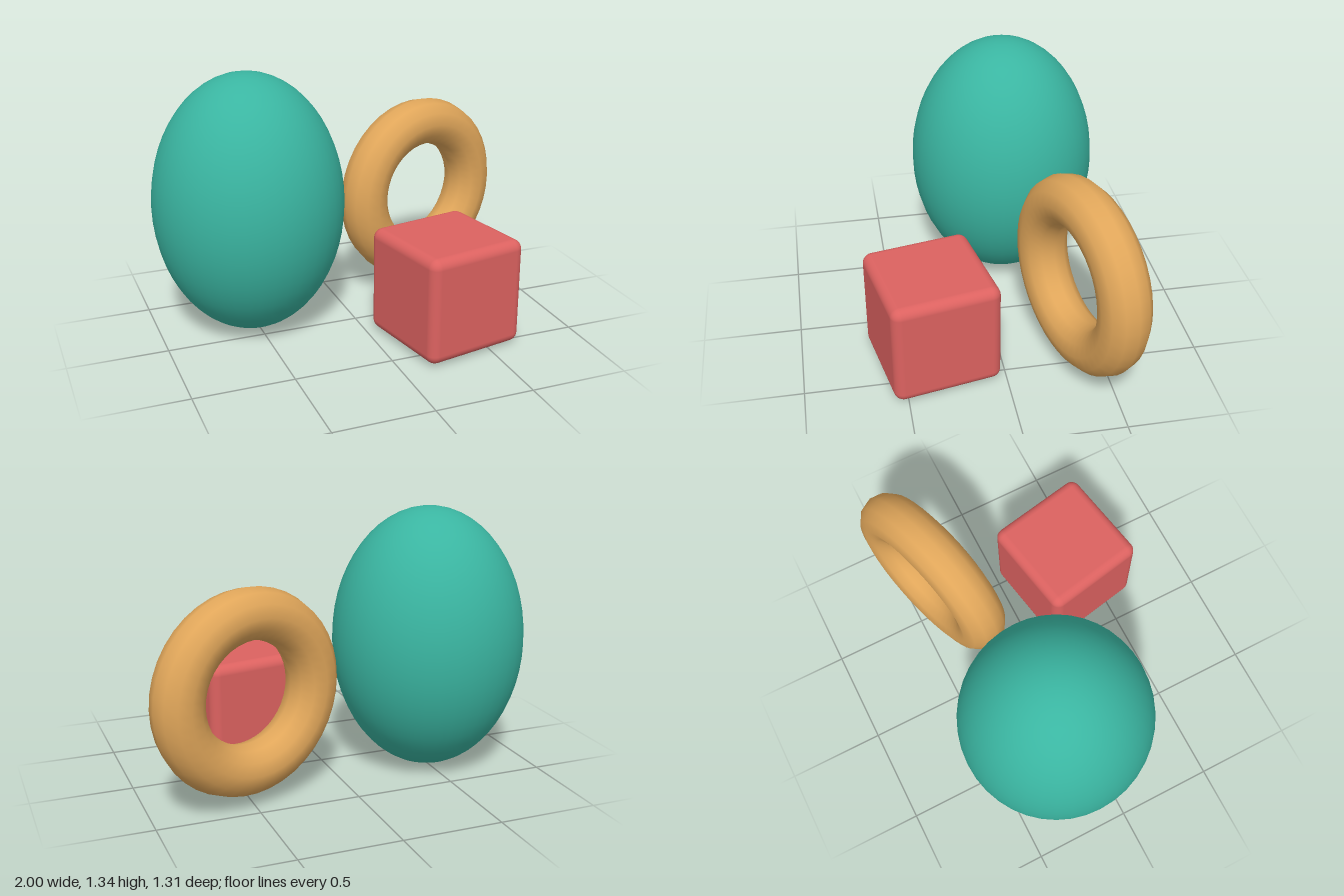
import * as THREE from 'three';
import { RoundedBoxGeometry } from 'three/addons/geometries/RoundedBoxGeometry.js';

function material(name, color) {
  const m = new THREE.MeshStandardMaterial({ color });
  m.name = name;
  return m;
}

export function createModel() {
  const model = new THREE.Group();
  model.name = 'threeShapes';

  const add = (name, geometry, mat, position, turn = 0) => {
    const mesh = new THREE.Mesh(geometry, mat);
    mesh.name = name;
    mesh.position.set(...position);
    mesh.rotation.y = turn;
    model.add(mesh);
    return mesh;
  };

  // Tall egg-like ellipsoid
  const egg = new THREE.SphereGeometry(1, 40, 28).scale(0.487, 0.67, 0.487);
  add('ellipsoid', egg, material('teal', 0x3ab5a1), [-0.514, 0.67, -0.17]);

  // Upright ring, turned slightly about the vertical
  const ring = new THREE.TorusGeometry(0.378, 0.126, 12, 40);
  add('ring', ring, material('ochre', 0xe0a65a), [0.514, 0.555, -0.368], 0.3);

  // Cube with softened edges
  const cube = new RoundedBoxGeometry(0.55, 0.55, 0.55, 4, 0.05);
  add('roundedCube', cube, material('coral red', 0xdc6260), [0.355, 0.286, 0.343], 0.19);

  return model;
}
